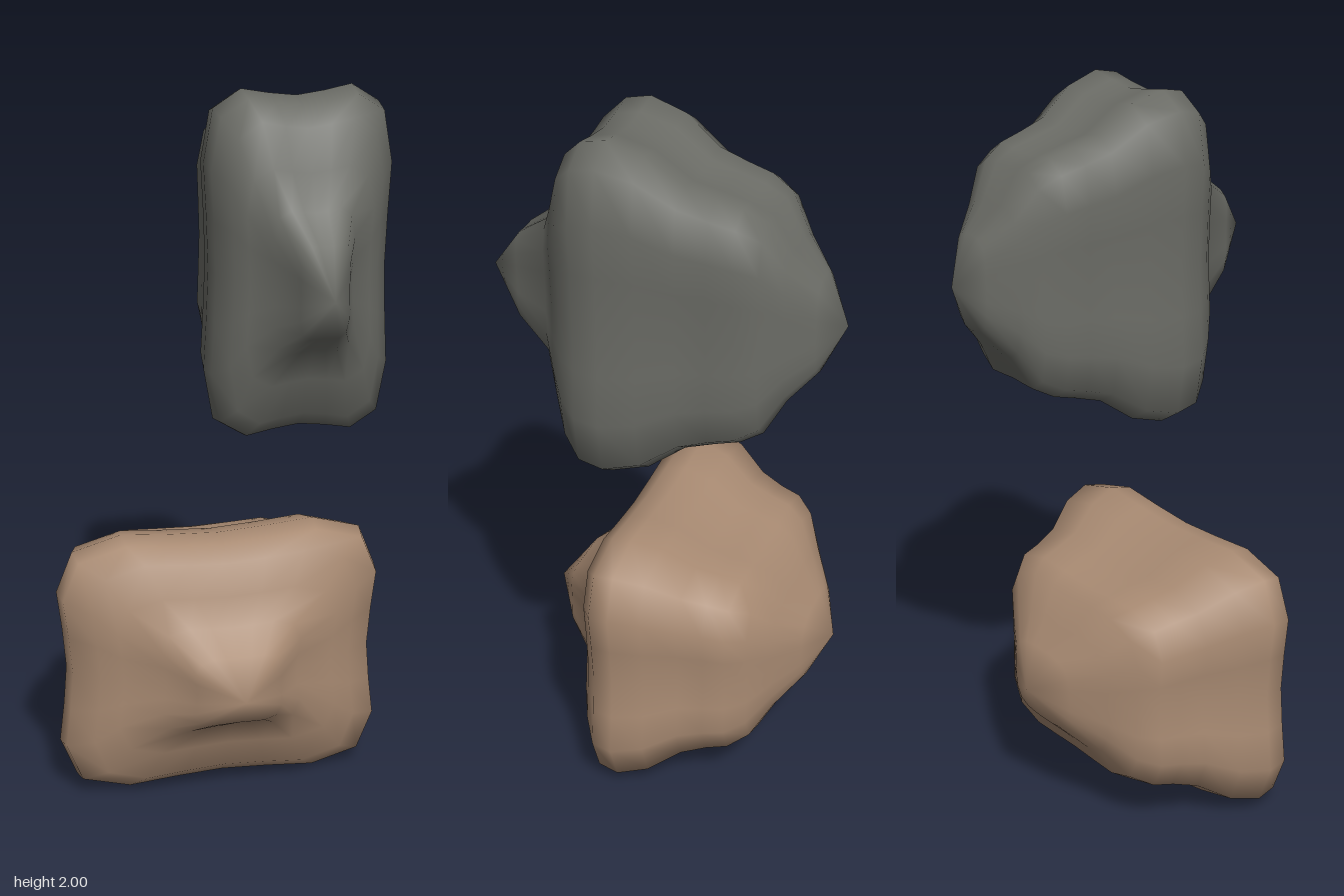
import * as THREE from 'three';

// Unit boulder profile: depth, half width, half height, squareness of the section
const PROFILE = [
  [-0.87, 0.29, 0.29, 0.5], [-0.73, 0.51, 0.45, 0.7], [-0.62, 0.67, 0.65, 0.8],
  [-0.5, 0.76, 0.71, 0.9], [-0.36, 0.79, 0.75, 0.9], [-0.2, 0.83, 0.79, 1],
  [0, 0.94, 0.94, 1], [0.2, 1, 1, 1], [0.34, 0.98, 0.97, 1],
  [0.45, 0.82, 0.86, 1], [0.52, 0.68, 0.62, 1], [0.61, 0.43, 0.41, 1],
  [0.81, 0.27, 0.27, 0.8],
];

// One quarter of the squarish section, pinched in the middle of each side
const QUARTER = [[0.95, 0], [0.97, 0.3], [1, 0.6], [0.9, 0.9], [0.6, 1], [0.3, 0.97]];
const SECTION = [];
for (let q = 0; q < 4; q++) {
  for (let [x, y] of QUARTER) {
    for (let k = 0; k < q; k++) [x, y] = [-y, x];
    SECTION.push([x, y]);
  }
}

// Loft the sections from the back point to the front point
function boulderGeometry(sx, sy, sz) {
  const n = SECTION.length;
  const pos = [];
  const index = [];
  for (const [z, w, h, square] of PROFILE) {
    SECTION.forEach(([x, y], j) => {
      const a = (j / n) * Math.PI * 2;
      const px = THREE.MathUtils.lerp(Math.cos(a), x, square);
      const py = THREE.MathUtils.lerp(Math.sin(a), y, square);
      pos.push(px * w * sx, py * h * sy, z * sz);
    });
  }
  const back = pos.length / 3;
  const front = back + 1;
  pos.push(0, 0, -sz, 0, 0, sz);
  const last = (PROFILE.length - 1) * n;
  for (let j = 0; j < n; j++) {
    const k = (j + 1) % n;
    for (let i = 0; i < last; i += n) {
      index.push(i + j, i + k, i + n + k, i + j, i + n + k, i + n + j);
    }
    index.push(back, k, j, front, last + j, last + k);
  }
  const geo = new THREE.BufferGeometry();
  geo.setAttribute('position', new THREE.Float32BufferAttribute(pos, 3));
  geo.setIndex(index);
  geo.computeVertexNormals();
  return geo;
}

export function createModel() {
  const group = new THREE.Group();
  group.name = 'boulders';

  const brown = new THREE.MeshStandardMaterial({ color: 0xa88a72 });
  brown.name = 'brown stone';
  const grey = new THREE.MeshStandardMaterial({ color: 0x6b6c66 });
  grey.name = 'grey stone';

  const add = (name, material, size, position) => {
    const mesh = new THREE.Mesh(boulderGeometry(...size), material);
    mesh.name = name;
    mesh.position.set(...position);
    group.add(mesh);
  };

  // Wide lower stone and the narrow stone above it
  add('lowerStone', brown, [0.46, 0.383, 0.425], [0, 0.388, 0]);
  add('upperStone', grey, [0.25, 0.475, 0.49], [0.208, 1.525, 0]);
  return group;
}
